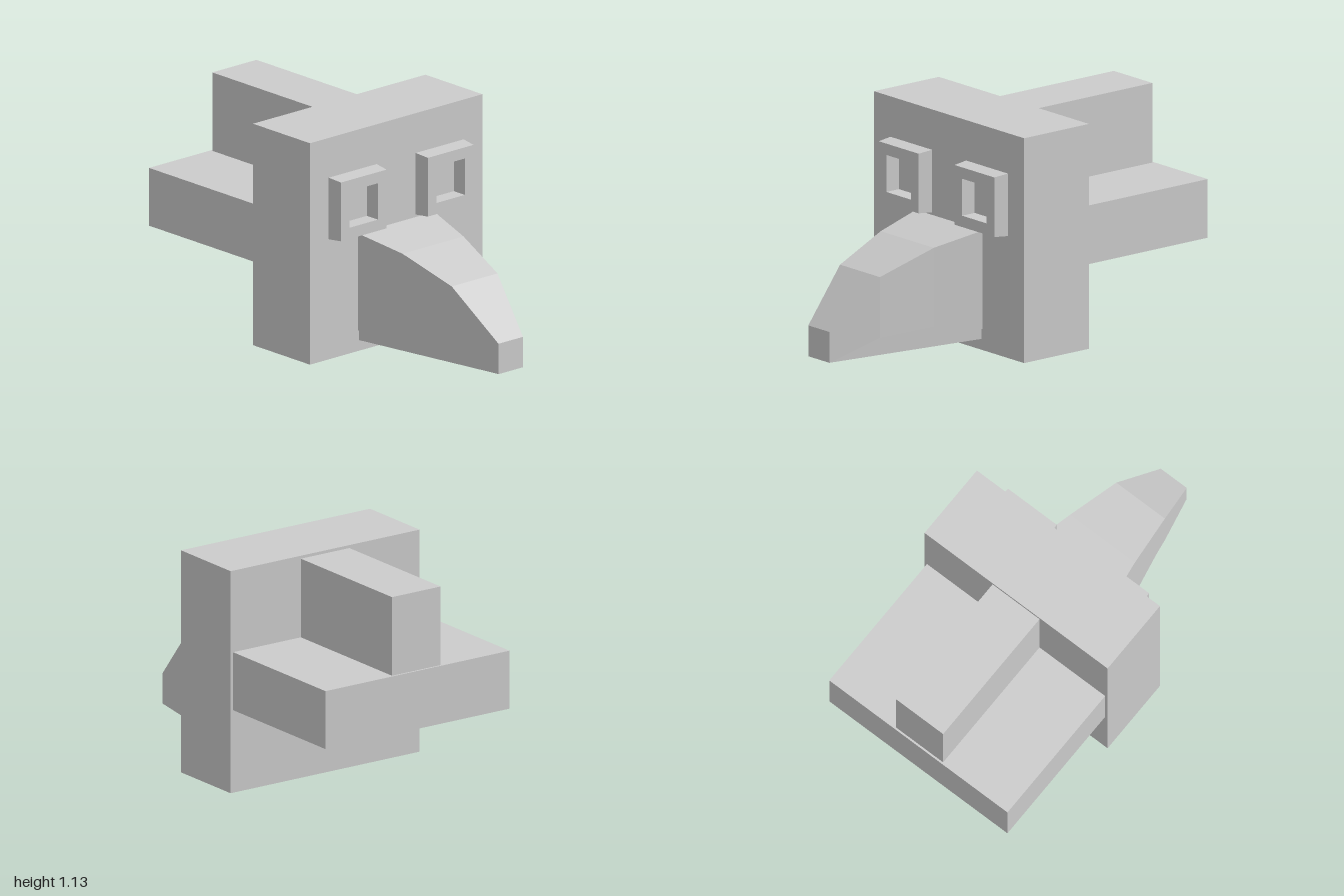
import * as THREE from 'three';

const material = new THREE.MeshStandardMaterial({ color: 0xcccccc, flatShading: true });

function addMesh(parent, name, geometry) {
  const mesh = new THREE.Mesh(geometry, material);
  mesh.name = name;
  parent.add(mesh);
  return mesh;
}

// Box given by its half width and its y and z ranges
function addBlock(parent, name, halfWidth, y0, y1, z0, z1) {
  const mesh = addMesh(parent, name, new THREE.BoxGeometry(halfWidth * 2, y1 - y0, z1 - z0));
  mesh.position.set(0, (y0 + y1) / 2, (z0 + z1) / 2);
}

// Closed loft through rectangular sections [z, halfWidth, bottom, top], back to front
function loft(sections) {
  const positions = [];
  const index = [];
  for (const [z, w, y0, y1] of sections) {
    positions.push(-w, y0, z, w, y0, z, w, y1, z, -w, y1, z);
  }
  for (let s = 0; s < sections.length - 1; s++) {
    for (let i = 0; i < 4; i++) {
      const a = s * 4 + i, b = s * 4 + (i + 1) % 4;
      index.push(a, b, b + 4, a, b + 4, a + 4);
    }
  }
  const e = (sections.length - 1) * 4;
  index.push(0, 2, 1, 0, 3, 2, e, e + 1, e + 2, e, e + 2, e + 3);
  const geometry = new THREE.BufferGeometry();
  geometry.setAttribute('position', new THREE.Float32BufferAttribute(positions, 3));
  geometry.setIndex(index);
  const flat = geometry.toNonIndexed();
  flat.computeVertexNormals();
  return flat;
}

function square(path, h) {
  path.moveTo(-h, -h);
  path.lineTo(h, -h);
  path.lineTo(h, h);
  path.lineTo(-h, h);
  path.closePath();
  return path;
}

// Square frame whose outer walls lean slightly inward toward the front
function eyeFrame() {
  const shape = square(new THREE.Shape(), 0.157);
  shape.holes.push(square(new THREE.Path(), 0.093));
  const geometry = new THREE.ExtrudeGeometry(shape, { depth: 0.08, bevelEnabled: false });
  const p = geometry.attributes.position;
  for (let i = 0; i < p.count; i++) {
    if (p.getZ(i) > 0.04 && Math.abs(p.getX(i)) > 0.12) {
      p.setXY(i, p.getX(i) * 0.955, p.getY(i) * 0.955);
    }
  }
  geometry.computeVertexNormals();
  return geometry;
}

export function createModel() {
  const model = new THREE.Group();
  model.name = 'birdHead';

  addBlock(model, 'head', 0.565, 0, 1.13, -0.235, 0.175);
  addBlock(model, 'rearSlab', 0.55, 0.42, 0.715, -1, -0.235);
  addBlock(model, 'rearRidge', 0.145, 0.715, 1.115, -0.99, -0.235);

  // Upper beak with an arched lower edge
  addMesh(model, 'upperBeak', loft([
    [0.175, 0.25, 0.105, 0.6],
    [0.44, 0.2, 0.155, 0.55],
    [0.74, 0.15, 0.14, 0.445],
    [1, 0.08, 0.045, 0.2],
  ]));

  // Straight lower jaw tucked inside the upper beak
  addMesh(model, 'lowerBeak', loft([
    [0.175, 0.245, 0.055, 0.3],
    [0.998, 0.079, 0.045, 0.12],
  ]));

  for (const side of [-1, 1]) {
    const eye = addMesh(model, side > 0 ? 'leftEye' : 'rightEye', eyeFrame());
    eye.position.set(side * 0.285, 0.77, 0.175);
  }
  return model;
}
